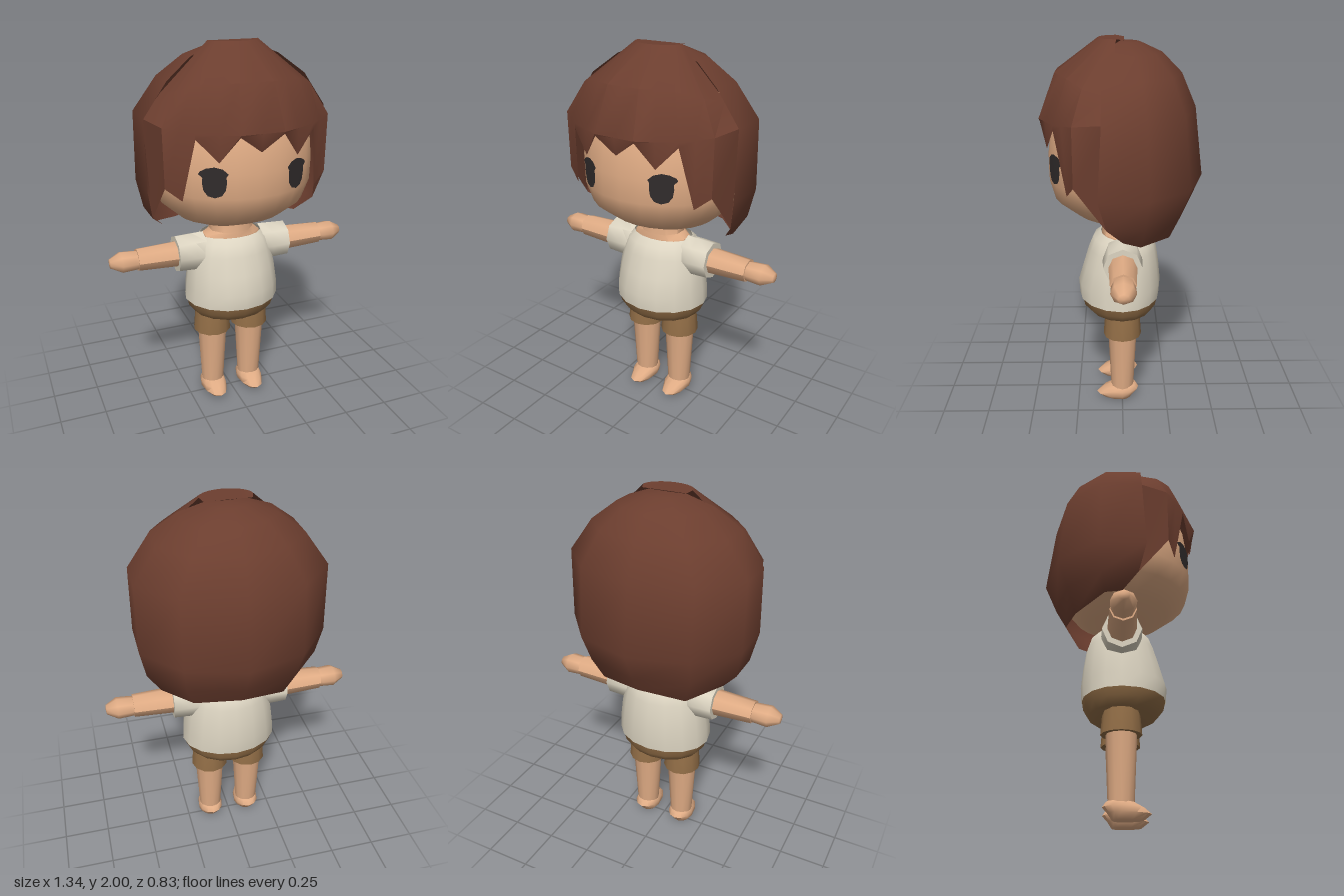
import * as THREE from 'three';
import { toCreasedNormals } from 'three/addons/utils/BufferGeometryUtils.js';

const mat = (name, color, side = THREE.FrontSide) => {
  const m = new THREE.MeshStandardMaterial({ color, side });
  m.name = name;
  return m;
};

// Surface through rows of points, rows listed from low to high
function skinRows(rows, crease) {
  const pos = [];
  for (let i = 0; i < rows.length - 1; i++) {
    for (let j = 0; j < rows[i].length - 1; j++) {
      const a = rows[i][j], b = rows[i][j + 1], c = rows[i + 1][j + 1], d = rows[i + 1][j];
      pos.push(...a, ...b, ...c, ...a, ...c, ...d);
    }
  }
  const g = new THREE.BufferGeometry();
  g.setAttribute('position', new THREE.Float32BufferAttribute(pos, 3));
  return toCreasedNormals(g, crease);
}

// Stack of oval rings: [y, half width, front depth, back depth]
function loft(rings, n = 12, crease = 0.8) {
  return skinRows(rings.map(([y, rx, zf = rx, zb = zf]) => {
    const row = [];
    for (let j = 0; j <= n; j++) {
      const t = ((j % n) / n) * Math.PI * 2, c = Math.cos(t);
      row.push([Math.sin(t) * rx, y, c * (c > 0 ? zf : zb)]);
    }
    return row;
  }), crease);
}

const HEAD = [
  [1.05, 0, 0, 0], [1.065, 0.17, 0.12, 0.18], [1.12, 0.29, 0.25, 0.26], [1.2, 0.38, 0.355, 0.32],
  [1.3, 0.42, 0.383, 0.34], [1.42, 0.425, 0.383, 0.34], [1.6, 0.41, 0.36, 0.33],
  [1.74, 0.31, 0.28, 0.26], [1.85, 0.15, 0.15, 0.15], [1.88, 0, 0, 0],
];

// Depth of the face at a given x and y
function faceZ(x, y) {
  const i = HEAD.findIndex((r) => r[0] > y), a = HEAD[i - 1], b = HEAD[i];
  const t = (y - a[0]) / (b[0] - a[0]);
  const rx = a[1] + (b[1] - a[1]) * t, zf = a[2] + (b[2] - a[2]) * t;
  return zf * Math.sqrt(Math.max(0, 1 - (x / rx) ** 2));
}

// Thin eye plate with an outer lash, laid over the face
function eyeGeometry(s) {
  const pts = [[-0.05, 0.03], [-0.052, 0], [-0.047, -0.035], [-0.03, -0.062], [0, -0.073], [0.03, -0.064],
    [0.047, -0.038], [0.053, 0], [0.051, 0.025], [0.068, 0.042], [0.06, 0.055], [0.035, 0.07], [0, 0.077],
    [-0.035, 0.068], [-0.06, 0.045]];
  const shape = new THREE.Shape(pts.map(([x, y]) => new THREE.Vector2(s * (0.212 + x), 1.385 + y)));
  const g = new THREE.ShapeGeometry(shape);
  const p = g.attributes.position;
  for (let i = 0; i < p.count; i++) p.setZ(i, faceZ(p.getX(i), p.getY(i)) + 0.009);
  g.computeVertexNormals();
  return g;
}

// Fringe columns, from the middle outward: [x, z, tip x, tip y, tip z]
function fringeGeometry() {
  const half = [
    [0, 0.415, 0, 1.53, 0.4], [0.11, 0.415, 0.11, 1.61, 0.41], [0.2, 0.375, 0.2, 1.49, 0.37],
    [0.3, 0.33, 0.3, 1.6, 0.33], [0.36, 0.285, 0.35, 1.29, 0.27], [0.43, 0.235, 0.425, 1.35, 0.235],
    [0.48, 0.08, 0.45, 1.15, 0.08],
  ];
  const columns = half.map(([x, z, tx, ty, tz], i) => {
    const k = i / 6, t = k * Math.PI / 2, drop = k ** 3;
    const top = [0.13 * Math.sin(t), 2, 0.03 + 0.09 * Math.cos(t)];
    return [[tx, ty, tz], [x, 1.62 + 0.04 * drop, z], [x * 0.8, 1.84 - 0.07 * drop, z * 0.8],
      top, [top[0] * 0.9, 1.994, -0.01]];
  });
  const mirrored = columns.slice(1).reverse().map((col) => col.map(([x, y, z]) => [-x, y, z]));
  const all = [...mirrored, ...columns];
  return skinRows([0, 1, 2, 3, 4].map((r) => all.map((col) => col[r])), 0.6);
}

// Back hair shell with an uneven hem: [y, half width, back depth, front edge z]
function backHairGeometry() {
  const rings = [[1.05, 0.38, 0.3, 0], [1.15, 0.45, 0.355, 0.08], [1.3, 0.48, 0.42, 0.12], [1.66, 0.48, 0.375, 0.1],
    [1.83, 0.36, 0.3, 0.1], [1.93, 0.23, 0.2, 0.06], [1.98, 0.1, 0.09, 0.03], [1.988, 0, 0, 0]];
  const cols = [[1, 0], [1, -0.29], [0.625, -0.79], [0, -1], [-0.625, -0.79], [-1, -0.29], [-1, 0]];
  const hem = [0.01, -0.012, -0.015, 0.005, -0.03, 0.02, 0.03];
  return skinRows(rings.map(([y, w, d, f], i) => cols.map(([u, v], j) =>
    [u * w, y + (i === 0 ? hem[j] : 0), v === 0 ? f : v * d])), 1);
}

export function createModel() {
  const skin = mat('skin', 0xdfab84);
  const hair = mat('brown hair', 0x6c3e2f, THREE.DoubleSide);
  const cloth = mat('cream cloth', 0xdcd4c1, THREE.DoubleSide);
  const brown = mat('brown cloth', 0x916d46, THREE.DoubleSide);
  const dark = mat('eye dark', 0x302b2b, THREE.DoubleSide);

  const model = new THREE.Group();
  model.name = 'figure';
  const add = (name, geometry, material, parent = model) => {
    const m = new THREE.Mesh(geometry, material);
    m.name = name;
    parent.add(m);
  };

  // Head and hair
  add('head', loft(HEAD, 24, 1), skin);
  add('fringe', fringeGeometry(), hair);
  add('backHair', backHairGeometry(), hair);
  add('leftEye', eyeGeometry(1), dark);
  add('rightEye', eyeGeometry(-1), dark);

  // Body
  add('neck', loft([[0.94, 0.17, 0.11], [0.99, 0.16, 0.11], [1.015, 0.12, 0.105], [1.12, 0.115, 0.1]], 10), skin);
  add('shirt', loft([[0.62, 0.262, 0.235, 0.205], [0.7, 0.257, 0.24, 0.21], [0.8, 0.245, 0.21, 0.2],
    [0.9, 0.225, 0.18, 0.185], [0.96, 0.2, 0.155, 0.165], [0.99, 0.17, 0.115, 0.13]], 16), cloth);
  add('shorts', loft([[0.465, 0, 0, 0], [0.495, 0.12, 0.11, 0.11], [0.54, 0.215, 0.185, 0.17],
    [0.58, 0.245, 0.22, 0.195], [0.63, 0.257, 0.232, 0.202]], 16), brown);

  // Arms are lofted upward, then laid along x
  for (const s of [1, -1]) {
    const arm = new THREE.Group();
    arm.name = s > 0 ? 'leftArm' : 'rightArm';
    arm.position.y = 0.9;
    arm.rotation.y = s > 0 ? 0 : Math.PI;
    model.add(arm);
    const lay = (rings, n, crease) => loft(rings, n, crease).rotateZ(-Math.PI / 2);
    add('sleeve', lay([[0.16, 0.107, 0.1], [0.22, 0.104], [0.315, 0.1], [0.315, 0.07]], 8), cloth, arm);
    add('forearm', lay([[0.25, 0.072, 0.075], [0.32, 0.07, 0.073], [0.525, 0.06, 0.065], [0.525, 0]], 8), skin, arm);
    add('hand', lay([[0.5, 0.047, 0.055], [0.54, 0.051, 0.06], [0.61, 0.056, 0.063], [0.668, 0.025, 0.028],
      [0.672, 0]], 8, 1.1), skin, arm);
  }

  // Legs
  for (const s of [1, -1]) {
    const leg = new THREE.Group();
    leg.name = s > 0 ? 'leftLeg' : 'rightLeg';
    leg.position.x = s * 0.112;
    model.add(leg);
    add('trouserLeg', loft([[0.415, 0.075], [0.415, 0.104], [0.53, 0.095], [0.58, 0.085]]), brown, leg);
    add('shin', loft([[0.06, 0.062], [0.45, 0.084, 0.08]]), skin, leg);
    add('foot', loft([[0, 0, 0, 0], [0.004, 0.045, 0.105, 0.045], [0.035, 0.07, 0.145, 0.065],
      [0.065, 0.071, 0.11, 0.092], [0.09, 0.06, 0.06, 0.075], [0.098, 0, 0, 0]], 12, 1.1), skin, leg);
  }
  return model;
}
